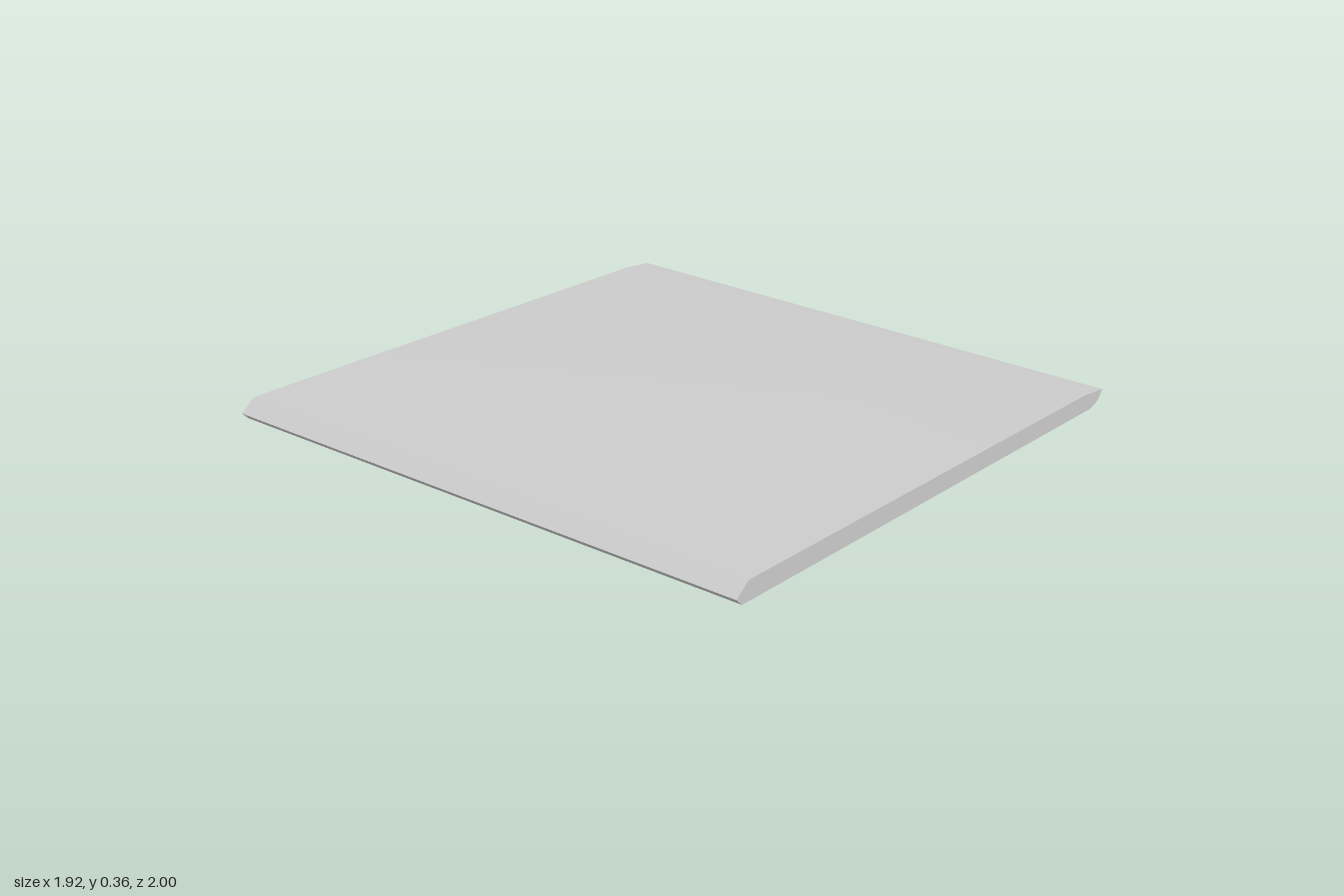
import * as THREE from 'three';
import { RoundedBoxGeometry } from 'three/addons/geometries/RoundedBoxGeometry.js';
import { toCreasedNormals } from 'three/addons/utils/BufferGeometryUtils.js';

const WIDTH = 1.92;

export function createModel() {
  const group = new THREE.Group();
  const grey = new THREE.MeshStandardMaterial({ color: 0xcccccc });
  grey.name = 'light grey';

  const add = (name, geometry, x = 0, y = 0, z = 0) => {
    const mesh = new THREE.Mesh(geometry, grey);
    mesh.name = name;
    mesh.position.set(x, y, z);
    group.add(mesh);
  };

  // Tilted panel: side profile as (z, y), swept across the width
  const profile = [
    [1, 0.322], [0.975, 0.297], [-0.92, 0.191], [-0.955, 0.196], [-0.978, 0.207],
    [-1, 0.236], [-0.88, 0.254], [0.947, 0.36],
  ].map(([z, y]) => new THREE.Vector2(z, y));
  const panel = new THREE.ExtrudeGeometry(new THREE.Shape(profile), { depth: WIDTH, bevelEnabled: false });
  panel.translate(0, 0, -WIDTH / 2);
  panel.rotateY(-Math.PI / 2);
  add('panel', toCreasedNormals(panel, 0.5));

  // Base block with softened edges
  add('base', new RoundedBoxGeometry(0.99, 0.13, 0.325, 3, 0.008), 0, 0.065, 0);

  // Four posts, each reaching just inside the underside of the panel
  for (const x of [-0.33, 0.33]) {
    for (const z of [-0.1, 0.1]) {
      const bottom = 0.12;
      const top = 0.255 + z * 0.056;
      add('post', new THREE.CylinderGeometry(0.038, 0.038, top - bottom, 32), x, (top + bottom) / 2, z);
    }
  }
  return group;
}
